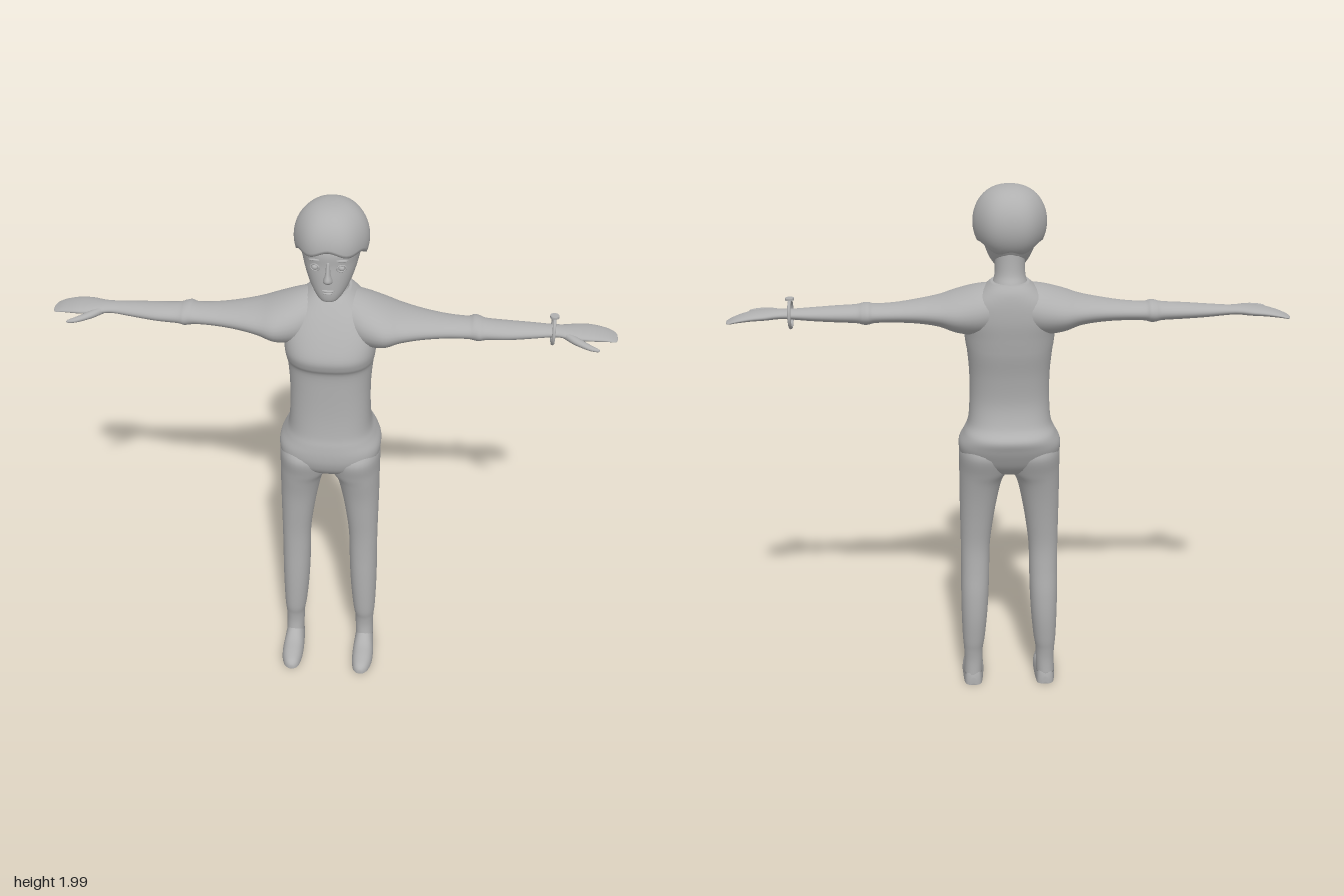
import * as THREE from 'three';

const grey = new THREE.MeshStandardMaterial({ color: 0xb0b0b0 });
grey.name = 'plain grey';

// Smooth closed tube of rings; point(i, a) gives a position for ring i and angle a
function rings(count, sides, point) {
  const pos = [], idx = [];
  const id = (i, j) => i * sides + (j % sides);
  for (let i = 0; i < count; i++)
    for (let j = 0; j < sides; j++) pos.push(...point(i, (j / sides) * Math.PI * 2));
  for (let i = 0; i < count - 1; i++)
    for (let j = 0; j < sides; j++) {
      idx.push(id(i, j), id(i + 1, j), id(i, j + 1));
      idx.push(id(i, j + 1), id(i + 1, j), id(i + 1, j + 1));
    }
  // end caps
  for (const end of [0, count - 1]) {
    const c = [0, 0, 0];
    for (let j = 0; j < sides; j++)
      for (let k = 0; k < 3; k++) c[k] += pos[id(end, j) * 3 + k] / sides;
    const centre = pos.length / 3;
    pos.push(...c);
    for (let j = 0; j < sides; j++) {
      if (end === 0) idx.push(centre, id(end, j), id(end, j + 1));
      else idx.push(centre, id(end, j + 1), id(end, j));
    }
  }
  const g = new THREE.BufferGeometry();
  g.setAttribute('position', new THREE.Float32BufferAttribute(pos, 3));
  g.setIndex(idx);
  g.computeVertexNormals();
  return g;
}

const catmull = (a, b, c, d, t) =>
  0.5 * (2 * b + (c - a) * t + (2 * a - 5 * b + 4 * c - d) * t * t + (3 * b - a - 3 * c + d) * t * t * t);

// Loft through sections [t, u0, u1, v0, v1]; axis y: u=x v=z, axis x: u=z v=y, axis z: u=y v=x
function loft(sections, axis, power = 2, sides = 32, steps = 5) {
  const last = sections.length - 1, at = (i) => sections[Math.min(last, Math.max(0, i))];
  const rows = [];
  for (let i = 0; i <= last * steps; i++) {
    const k = Math.floor(i / steps), f = (i % steps) / steps;
    rows.push(at(k).map((_, n) => catmull(at(k - 1)[n], at(k)[n], at(k + 1)[n], at(k + 2)[n], f)));
  }
  const round = (s) => Math.sign(s) * Math.pow(Math.abs(s), 2 / power);
  return rings(rows.length, sides, (i, a) => {
    const [t, u0, u1, v0, v1] = rows[i];
    const u = (u0 + u1) / 2 + ((u1 - u0) / 2) * round(Math.cos(a));
    const v = (v0 + v1) / 2 + ((v1 - v0) / 2) * round(Math.sin(a));
    if (axis === 'y') return [u, t, v];
    if (axis === 'x') return [t, v, u];
    return [v, Math.max(0, u), t];
  });
}

function mirrored(geometry) {
  const g = geometry.clone().scale(-1, 1, 1);
  const ix = g.index.array;
  for (let i = 0; i < ix.length; i += 3) [ix[i + 1], ix[i + 2]] = [ix[i + 2], ix[i + 1]];
  g.computeVertexNormals();
  return g;
}

export function createModel() {
  const model = new THREE.Group();
  model.name = 'figure';
  const add = (name, geometry) => {
    const m = new THREE.Mesh(geometry, grey);
    m.name = name;
    model.add(m);
    return m;
  };
  const addPair = (name, geometry) => {
    add('left' + name, geometry);
    add('right' + name, mirrored(geometry));
  };
  const sym = (list) => list.map(([t, w, back, front]) => [t, -w, w, back, front]);
  const ball = (x, y, z, rx, ry, rz) =>
    new THREE.SphereGeometry(1, 16, 12).scale(rx, ry, rz).translate(x, y, z);

  // Torso, from pelvis to collar
  add('torso', loft(sym([
    [0.905, 0.02, -0.05, 0.02], [0.925, 0.09, -0.1, 0.07], [0.96, 0.168, -0.135, 0.108],
    [1.0, 0.185, -0.158, 0.124], [1.04, 0.187, -0.175, 0.126], [1.08, 0.168, -0.184, 0.12],
    [1.12, 0.152, -0.152, 0.11], [1.2, 0.146, -0.133, 0.102], [1.3, 0.146, -0.142, 0.1],
    [1.385, 0.153, -0.16, 0.103], [1.42, 0.159, -0.166, 0.12], [1.46, 0.163, -0.172, 0.126],
    [1.52, 0.165, -0.18, 0.098], [1.58, 0.145, -0.18, 0.06], [1.625, 0.1, -0.172, 0.025],
    [1.655, 0.066, -0.155, -0.003],
  ]), 'y', 2.5, 48));
  add('neck', loft(sym([
    [1.6, 0.085, -0.17, 0.02], [1.65, 0.062, -0.153, -0.005], [1.68, 0.054, -0.138, -0.015],
    [1.72, 0.053, -0.132, -0.01], [1.78, 0.055, -0.13, 0],
  ]), 'y'));

  // Arms with sleeve ridge and flat hands
  addPair('Arm', loft([
    [0, -0.17, 0.03, 1.47, 1.64], [0.06, -0.172, 0.04, 1.465, 1.642], [0.12, -0.175, 0.07, 1.455, 1.632],
    [0.19, -0.166, 0.085, 1.462, 1.61], [0.25, -0.145, 0.066, 1.484, 1.59], [0.32, -0.122, 0.042, 1.494, 1.577],
    [0.4, -0.106, 0.022, 1.498, 1.566], [0.475, -0.1, 0.012, 1.497, 1.562], [0.5, -0.107, 0.013, 1.492, 1.568],
    [0.52, -0.103, 0.016, 1.491, 1.566], [0.545, -0.094, 0.01, 1.496, 1.56], [0.62, -0.091, 0.006, 1.5, 1.556],
    [0.7, -0.088, -0.006, 1.506, 1.552], [0.78, -0.083, -0.017, 1.514, 1.548], [0.82, -0.087, -0.008, 1.515, 1.548],
    [0.86, -0.1, -0.001, 1.513, 1.547], [0.91, -0.106, -0.004, 1.512, 1.542], [0.96, -0.105, -0.018, 1.508, 1.529],
    [0.99, -0.098, -0.028, 1.504, 1.516], [1.0, -0.08, -0.045, 1.506, 1.511],
  ], 'x'));
  addPair('Thumb', loft([
    [0.81, -0.04, -0.015, 1.518, 1.542], [0.84, -0.03, 0.014, 1.514, 1.541], [0.87, -0.005, 0.033, 1.513, 1.536],
    [0.9, 0.018, 0.046, 1.512, 1.53], [0.925, 0.034, 0.047, 1.512, 1.524], [0.932, 0.04, 0.044, 1.515, 1.52],
  ], 'x', 2, 16));

  // Legs and feet
  addPair('Leg', loft([
    [0.04, 0.108, 0.178, -0.044, 0.05], [0.1, 0.106, 0.176, -0.044, 0.042], [0.15, 0.104, 0.178, -0.05, 0.045],
    [0.2, 0.096, 0.182, -0.06, 0.055], [0.3, 0.086, 0.185, -0.072, 0.06], [0.4, 0.08, 0.186, -0.073, 0.061],
    [0.5, 0.077, 0.185, -0.065, 0.06], [0.6, 0.074, 0.185, -0.062, 0.062], [0.7, 0.062, 0.186, -0.074, 0.07],
    [0.8, 0.045, 0.187, -0.092, 0.08], [0.88, 0.026, 0.187, -0.112, 0.095], [0.93, 0.0, 0.187, -0.13, 0.107],
    [1.0, -0.005, 0.186, -0.154, 0.12], [1.05, 0.02, 0.17, -0.14, 0.09],
  ], 'y', 2.2));
  addPair('Foot', loft([
    [-0.047, -0.03, 0.03, 0.13, 0.155], [-0.035, -0.07, 0.07, 0.112, 0.172], [0, -0.09, 0.09, 0.106, 0.179],
    [0.04, -0.075, 0.075, 0.103, 0.182], [0.09, -0.053, 0.053, 0.101, 0.185], [0.14, -0.044, 0.044, 0.103, 0.182],
    [0.18, -0.035, 0.035, 0.111, 0.17], [0.197, -0.022, 0.022, 0.124, 0.155], [0.201, -0.01, 0.01, 0.134, 0.146],
  ], 'z', 2.3));

  // Head and face
  add('head', loft(sym([
    [1.67, 0.02, 0.02, 0.062], [1.678, 0.037, -0.02, 0.076], [1.7, 0.056, -0.07, 0.081],
    [1.73, 0.073, -0.11, 0.081], [1.77, 0.088, -0.14, 0.079], [1.81, 0.099, -0.165, 0.076],
    [1.86, 0.107, -0.17, 0.074], [1.91, 0.09, -0.15, 0.045], [1.95, 0.04, -0.1, 0],
  ]), 'y', 2.2));
  add('nose', loft(sym([
    [1.75, 0.008, 0.06, 0.084], [1.757, 0.016, 0.06, 0.096], [1.768, 0.015, 0.06, 0.103],
    [1.79, 0.009, 0.06, 0.094], [1.83, 0.007, 0.05, 0.078],
  ]), 'y', 2, 16));
  add('upperLip', ball(0, 1.722, 0.077, 0.022, 0.005, 0.009));
  add('lowerLip', ball(0, 1.712, 0.077, 0.018, 0.005, 0.009));
  for (const s of [1, -1]) {
    const side = s > 0 ? 'left' : 'right';
    add(side + 'Eye', ball(s * 0.045, 1.806, 0.066, 0.011, 0.01, 0.01));
    const lid = add(side + 'Eyelid', new THREE.TorusGeometry(0.014, 0.003, 8, 20).scale(1.1, 0.85, 1));
    lid.position.set(s * 0.045, 1.806, 0.069);
    lid.rotation.y = s * 0.3;
    const brow = add(side + 'Eyebrow', ball(0, 0, 0, 0.022, 0.004, 0.005));
    brow.position.set(s * 0.047, 1.834, 0.068);
    brow.rotation.set(0, s * 0.3, -s * 0.1);
  }

  // Short hair cap with a wavy lower edge, high in front and low behind
  add('hair', rings(21, 64, (i, a) => {
    const edge = 1.812 + 0.046 * Math.sin(a) - 0.009 * Math.cos(6 * a);
    const phi = Math.acos((edge - 1.86) / 0.126) * (1 - Math.max(0, i - 1) / 19.2);
    const r = Math.pow(Math.sin(phi), 0.8) * (i === 0 ? 0.8 : 1);
    const wave = 1 + 0.012 * Math.cos(6 * a) * Math.sin(phi);
    return [0.128 * r * wave * Math.cos(a), 1.86 + 0.126 * Math.cos(phi), -0.059 + 0.142 * r * wave * Math.sin(a)];
  }));

  // Bracelet on the left wrist
  const bracelet = new THREE.Group();
  bracelet.name = 'bracelet';
  bracelet.position.set(0.775, 1.532, -0.053);
  const band = new THREE.Mesh(new THREE.TorusGeometry(0.048, 0.006, 10, 36).rotateY(Math.PI / 2), grey);
  band.name = 'braceletBand';
  const disc = new THREE.Mesh(new THREE.CylinderGeometry(0.016, 0.016, 0.008, 20), grey);
  disc.name = 'braceletDisc';
  disc.position.y = 0.055;
  bracelet.add(band, disc);
  model.add(bracelet);
  return model;
}
